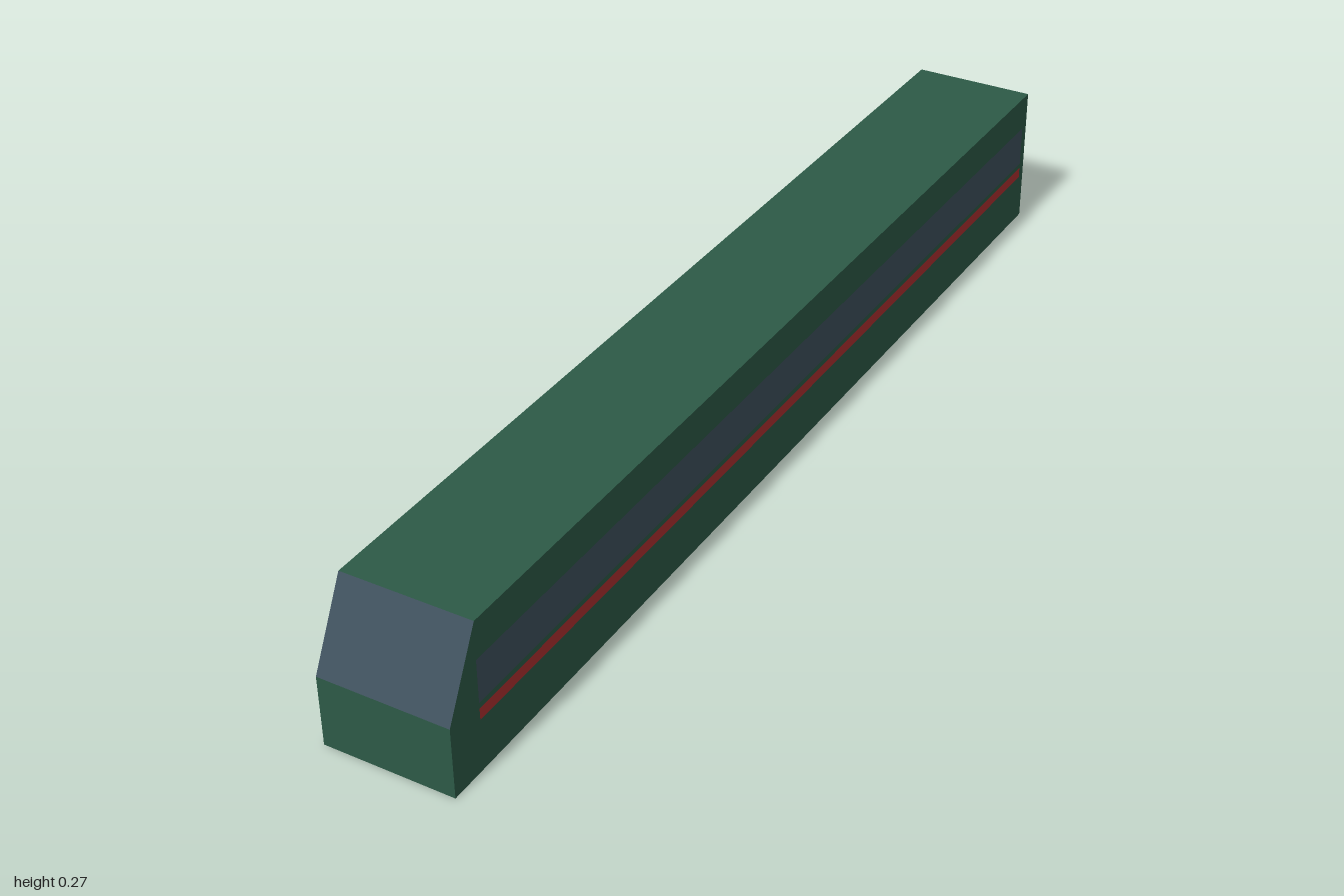
import * as THREE from 'three';

const W = 0.117, H = 0.27, NOSE_Y = 0.128, ROOF_Z = 0.927;

const material = (name, color) => {
  const m = new THREE.MeshStandardMaterial({ color, side: THREE.DoubleSide });
  m.name = name;
  return m;
};

// Strip across the body width between two [z, y] profile points
function panel(name, [z0, y0], [z1, y1], mat) {
  const g = new THREE.BufferGeometry();
  g.setAttribute('position', new THREE.Float32BufferAttribute([
    W, y0, z0, W, y1, z1, -W, y1, z1, -W, y0, z0], 3));
  g.setIndex([0, 1, 2, 0, 2, 3]);
  g.computeVertexNormals();
  const mesh = new THREE.Mesh(g, mat);
  mesh.name = name;
  return mesh;
}

// Flat side piece outlined by [z, y] points; side is +1 (left) or -1 (right)
function sidePlate(name, points, side, offset, mat) {
  const shape = new THREE.Shape(points.map(([z, y]) => new THREE.Vector2(-side * z, y)));
  const mesh = new THREE.Mesh(new THREE.ShapeGeometry(shape), mat);
  mesh.rotation.y = side * Math.PI / 2;
  mesh.position.x = side * (W + offset);
  mesh.name = name;
  return mesh;
}

const band = (y0, y1) => [[-0.98, y0], [0.93, y0], [0.93, y1], [-0.98, y1]];

export function createModel() {
  const green = material('body green', 0x2d5a47);
  const glass = material('window blue grey', 0x3f515e);
  const red = material('stripe red', 0xb03030);

  const train = new THREE.Group();
  train.name = 'railCar';

  // Body profile from the nose over the roof to the back; the underside is open
  const profile = [[1, 0], [1, NOSE_Y], [ROOF_Z, H], [-1, H], [-1, 0]];
  const names = ['nose', 'windscreen', 'roof', 'backWall'];
  names.forEach((name, i) => train.add(
    panel(name, profile[i], profile[i + 1], name === 'windscreen' ? glass : green)));

  // Side walls with a window band and a stripe below it
  for (const side of [1, -1]) {
    const prefix = side > 0 ? 'left' : 'right';
    train.add(
      sidePlate(prefix + 'Wall', profile, side, 0, green),
      sidePlate(prefix + 'WindowBand', band(0.125, 0.203), side, 0.001, glass),
      sidePlate(prefix + 'Stripe', band(0.094, 0.115), side, 0.001, red));
  }
  return train;
}
